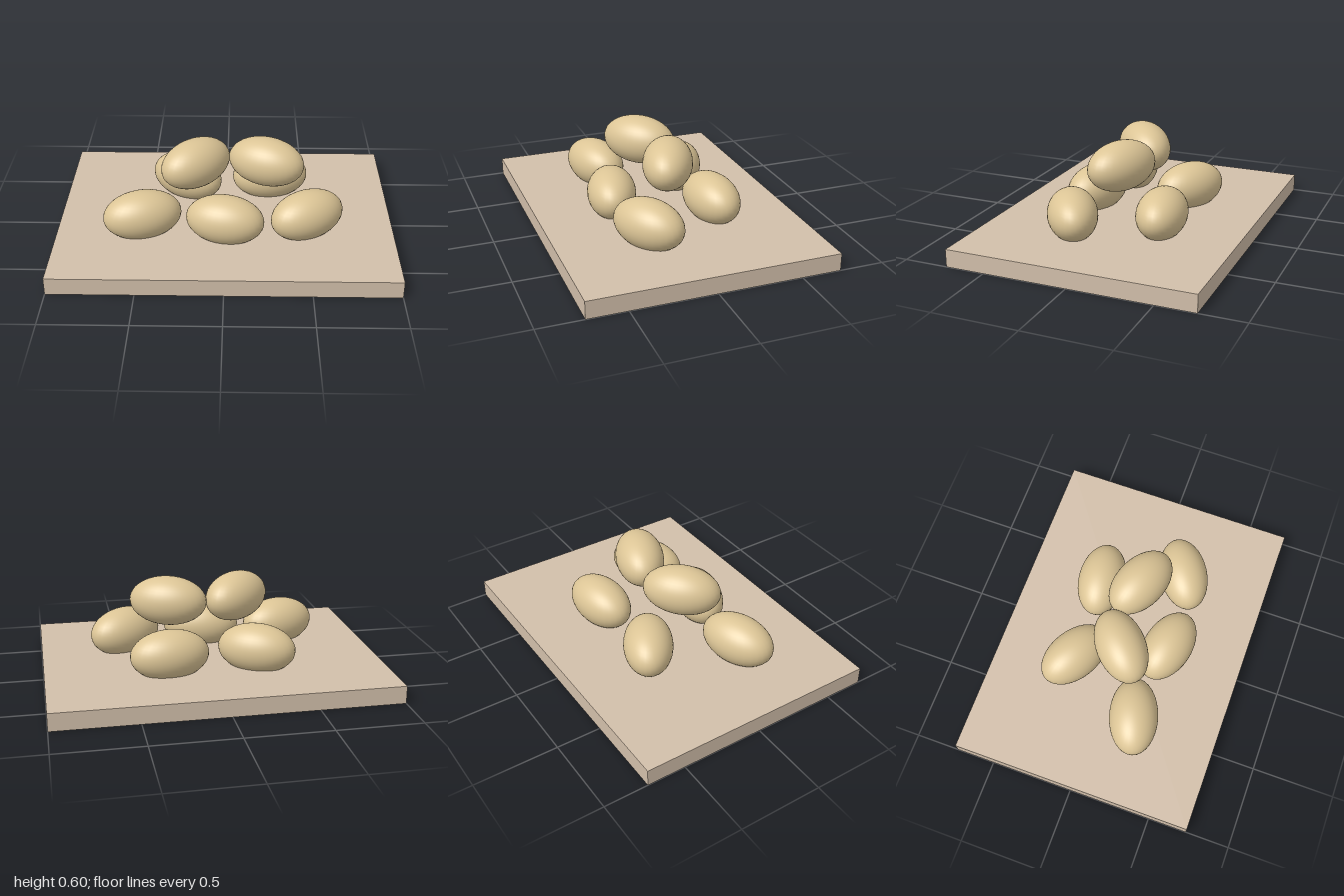
import * as THREE from 'three';

export function createModel() {
  const model = new THREE.Group();
  model.name = 'potatoesOnBoard';

  // Flat serving board
  const boardMaterial = new THREE.MeshStandardMaterial({ color: 0xd2bfaa });
  const board = new THREE.Mesh(new THREE.BoxGeometry(2, 0.105, 1.47), boardMaterial);
  board.name = 'board';
  board.position.y = 0.0525;
  model.add(board);

  // Potatoes: one stretched sphere, slightly sunk into the board
  const potatoMaterial = new THREE.MeshStandardMaterial({ color: 0xdcc596 });
  const potatoGeometry = new THREE.SphereGeometry(0.147, 32, 24).scale(1.595, 1, 1);
  const lower = 0.21, upper = 0.455;

  // x, y, z, turn about the vertical in degrees
  const potatoes = [
    [-0.49, lower, 0.222, 17],
    [0, lower, 0.27, -13],
    [0.485, lower, 0.207, 30],
    [-0.245, lower, -0.248, -30],
    [0.275, lower, -0.263, 7],
    [-0.178, upper, 0.03, 41],
    [0.243, upper, 0.003, -23],
  ];
  potatoes.forEach(([x, y, z, turn], i) => {
    const potato = new THREE.Mesh(potatoGeometry, potatoMaterial);
    potato.name = (y === lower ? 'lowerPotato' : 'upperPotato') + (i + 1);
    potato.position.set(x, y, z);
    potato.rotation.y = THREE.MathUtils.degToRad(turn);
    model.add(potato);
  });

  return model;
}
